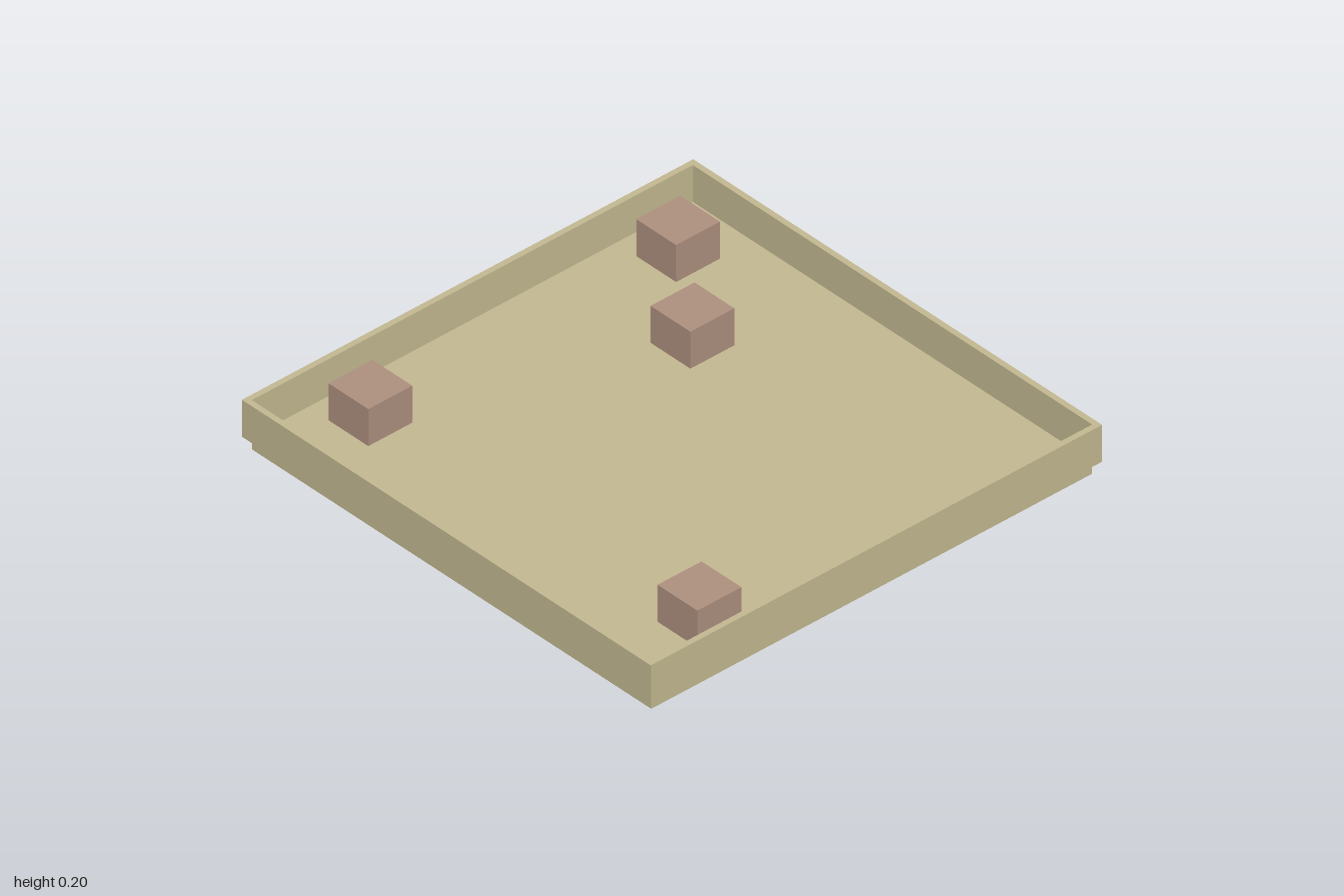
import * as THREE from 'three';

const FLOOR_HALF = 0.977;
const FLOOR_TOP = 0.05;
const WALL_TOP = 0.2;
const CRATE = 0.195;

export function createModel() {
  const model = new THREE.Group();
  model.name = 'tray';

  const sand = new THREE.MeshStandardMaterial({ color: 0xc4ba92 });
  sand.name = 'sand';
  const clay = new THREE.MeshStandardMaterial({ color: 0xae907f });
  clay.name = 'clay';

  // Floor slab, slightly inset under the walls
  const floor = new THREE.Mesh(new THREE.BoxGeometry(FLOOR_HALF * 2, FLOOR_TOP, FLOOR_HALF * 2), sand);
  floor.name = 'floor';
  floor.position.y = FLOOR_TOP / 2;
  model.add(floor);

  // Thin square rim standing around the floor
  const outline = new THREE.Shape([[-1, -1], [1, -1], [1, 1], [-1, 1]].map(([x, y]) => new THREE.Vector2(x, y)));
  const h = FLOOR_HALF;
  outline.holes.push(new THREE.Path([[-h, -h], [-h, h], [h, h], [h, -h]].map(([x, y]) => new THREE.Vector2(x, y))));
  const wallGeometry = new THREE.ExtrudeGeometry(outline, { depth: WALL_TOP - FLOOR_TOP, bevelEnabled: false });
  wallGeometry.rotateX(-Math.PI / 2);
  const walls = new THREE.Mesh(wallGeometry, sand);
  walls.name = 'walls';
  walls.position.y = FLOOR_TOP;
  model.add(walls);

  // Blocks standing on the floor, level with the rim
  const blockHeight = WALL_TOP - FLOOR_TOP;
  const blockGeometry = new THREE.BoxGeometry(CRATE, blockHeight, CRATE);
  const spots = [[-0.78, -0.734], [-0.39, -0.444], [-0.78, 0.63], [0.779, 0.584]];
  spots.forEach(([x, z], i) => {
    const block = new THREE.Mesh(blockGeometry, clay);
    block.name = `block${i + 1}`;
    block.position.set(x, FLOOR_TOP + blockHeight / 2, z);
    model.add(block);
  });

  return model;
}
